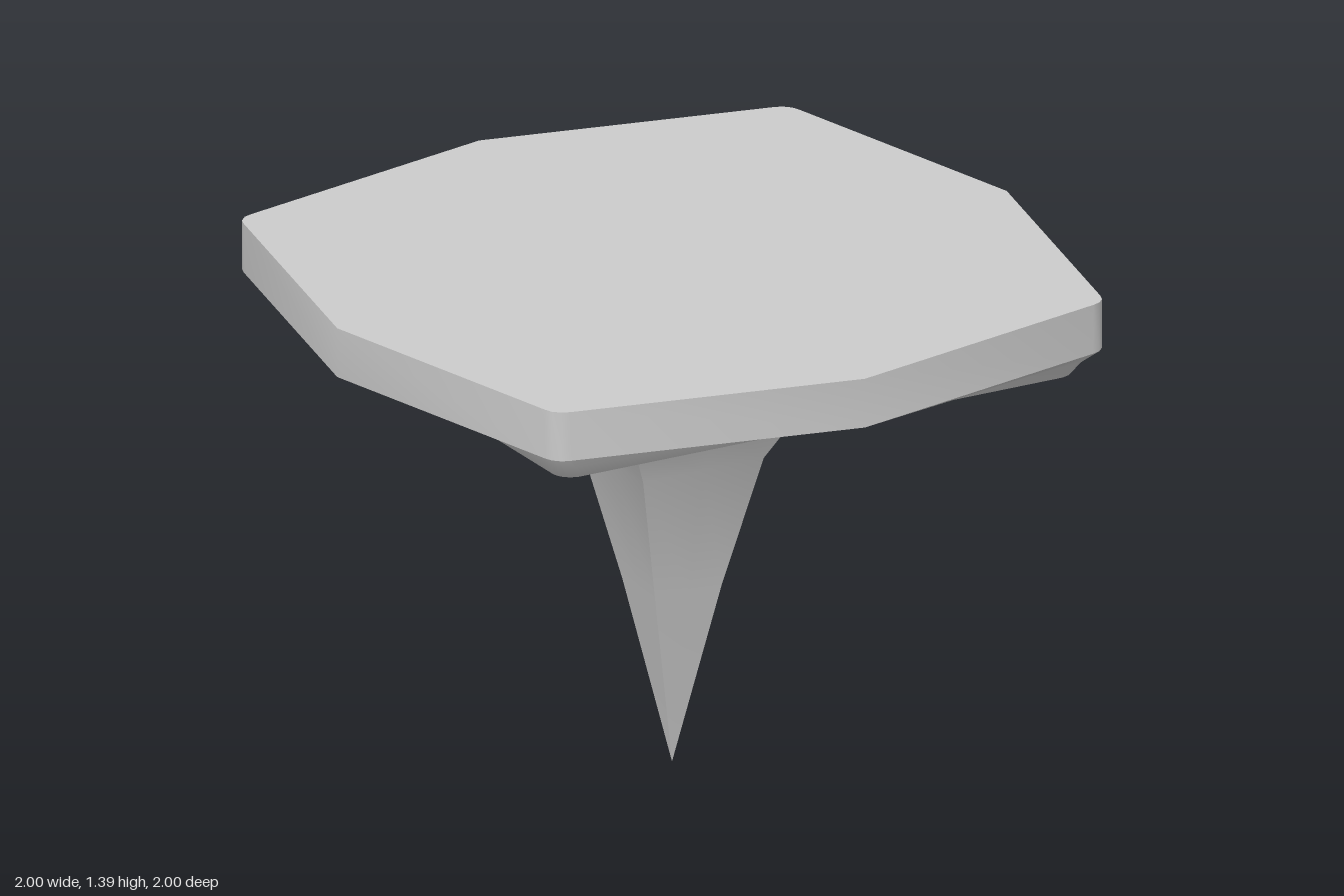
import * as THREE from 'three';
import { toCreasedNormals } from 'three/addons/utils/BufferGeometryUtils.js';

// One quarter of the outline: a mid-side tip, then a rounded corner
const CORNER = [[0.83, 0.78], [0.822, 0.803], [0.803, 0.822], [0.78, 0.83]];

// Full ring of 20 points; tip = mid-side reach, corner = function placing a corner point
function ring(tip, corner, y) {
  const pts = [];
  for (let q = 0; q < 4; q++) {
    const c = Math.round(Math.cos(q * Math.PI / 2)), s = Math.round(Math.sin(q * Math.PI / 2));
    for (const [x, z] of [[tip, 0], ...CORNER.map(corner)]) {
      const px = x * c - z * s, pz = x * s + z * c;
      pts.push(new THREE.Vector3(px, typeof y === 'function' ? y(px) : y, pz));
    }
  }
  return pts;
}
const outline = (y) => ring(1, (p) => p, y);
const roundedSquare = (h, y) => ring(h, ([x, z]) => [x * h / 0.83, z * h / 0.83], y);
// Sharp rectangle, keeping the same point count
const rectangle = (hx, hz, y) =>
  ring(1, () => [1, 1], y).map((p) => p.multiply(new THREE.Vector3(hx, 1, hz)));

// Skin a stack of rings from top to bottom, skipping collapsed triangles
function loft(name, rings, crease) {
  const pos = [];
  const tri = (a, b, c) => {
    const area = b.clone().sub(a).cross(c.clone().sub(a)).length();
    if (area > 1e-7) for (const p of [a, b, c]) pos.push(p.x, p.y, p.z);
  };
  for (let i = 0; i < rings.length - 1; i++) {
    const top = rings[i], low = rings[i + 1];
    for (let k = 0; k < top.length; k++) {
      const n = (k + 1) % top.length;
      tri(top[k], top[n], low[k]);
      tri(top[n], low[n], low[k]);
    }
  }
  const geo = new THREE.BufferGeometry();
  geo.setAttribute('position', new THREE.Float32BufferAttribute(pos, 3));
  const mesh = new THREE.Mesh(toCreasedNormals(geo, crease),
    new THREE.MeshStandardMaterial({ color: 0xcccccc }));
  mesh.name = name;
  return mesh;
}

export function createModel() {
  const group = new THREE.Group();
  group.name = 'spikedSlab';

  // Flat top and rim
  group.add(loft('slab', [rectangle(0, 0, 1.39), outline(1.39), outline(1.255)], 0.5));

  // Slightly tilted underside, bevelled frame and flat bottom around the spike
  group.add(loft('underside', [
    outline(1.255),
    roundedSquare(0.81, (x) => 1.245 - 0.01 * x / 0.81),
    roundedSquare(0.795, 1.22),
    roundedSquare(0.77, 1.18),
    rectangle(0.52, 0.5, 1.18),
  ], 0.5));

  // Flared four-sided spike
  const profile = [[0.52, 0.5, 1.18], [0.26, 0.245, 1.02], [0.18, 0.163, 0.86],
    [0.1, 0.085, 0.5], [0, 0, 0]];
  group.add(loft('spike', profile.map((p) => rectangle(...p)), 0.5));
  return group;
}
